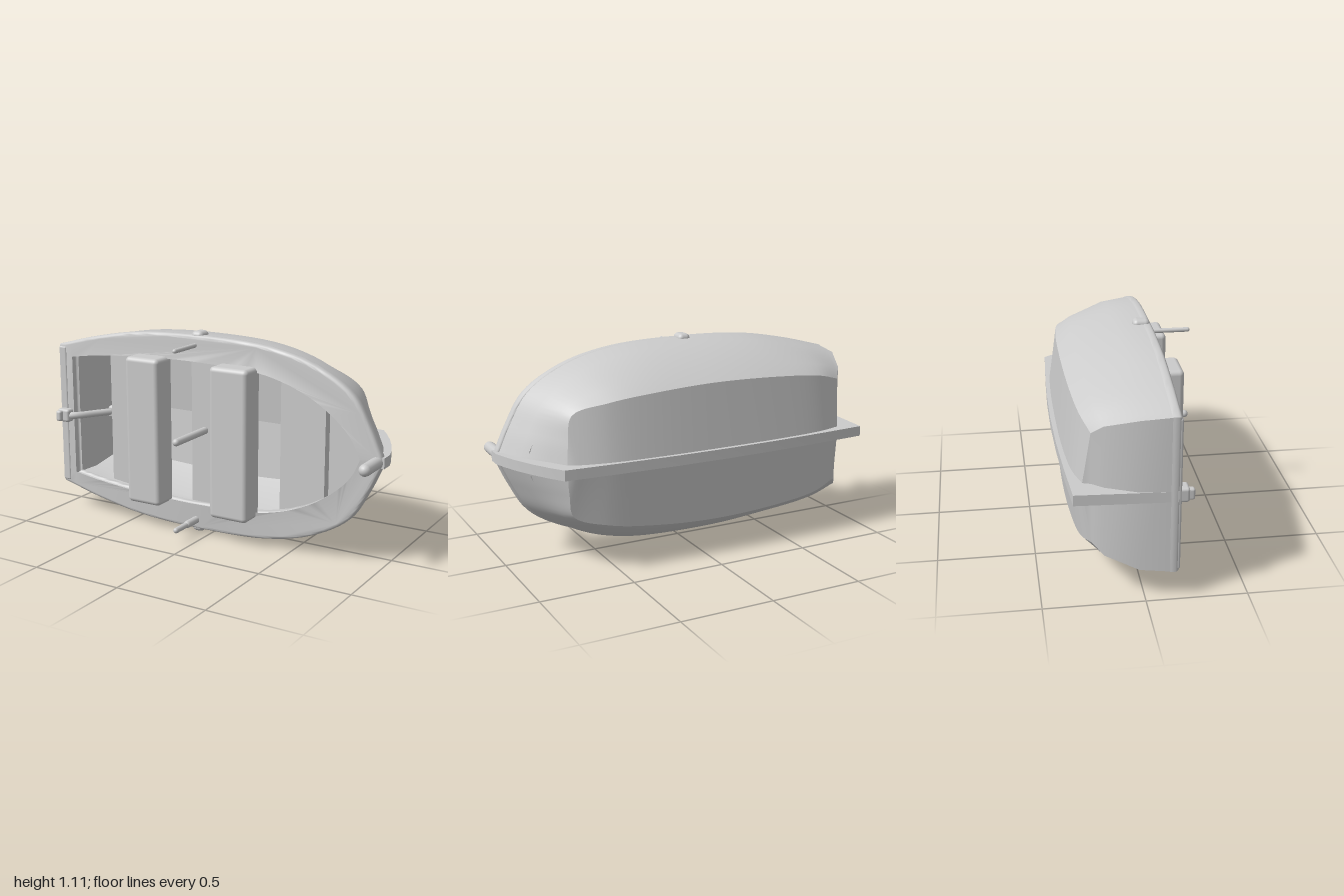
import * as THREE from 'three';
import { toCreasedNormals } from 'three/addons/utils/BufferGeometryUtils.js';
import { RoundedBoxGeometry } from 'three/addons/geometries/RoundedBoxGeometry.js';

const C = 0.555; // height of the boat's centreline; the open side faces +z
const N = 48; // samples along the hull
const mat = new THREE.MeshStandardMaterial({ color: 0xcccccc, side: THREE.DoubleSide });

// A rail is a smooth line from stern to bow, given as x, half-beam and z lists
function rail(xs, hs, zs) {
  const pts = xs.map((x, i) => new THREE.Vector3(x, hs[i], Array.isArray(zs) ? zs[i] : zs));
  return new THREE.CatmullRomCurve3(pts, false, 'centripetal').getPoints(N);
}
const side = (pts, s) => pts.map(p => new THREE.Vector3(p.x, C + s * p.y, p.z));

// Surface through rows of points
function grid(rows, flip) {
  const n = rows[0].length, pos = [], idx = [];
  rows.forEach(r => r.forEach(p => pos.push(p.x, p.y, p.z)));
  for (let j = 0; j < rows.length - 1; j++) {
    for (let i = 0; i < n - 1; i++) {
      const a = j * n + i, b = a + 1, c = a + n, d = c + 1;
      if (flip) idx.push(a, c, b, b, c, d);
      else idx.push(a, b, c, b, d, c);
    }
  }
  const g = new THREE.BufferGeometry();
  g.setAttribute('position', new THREE.Float32BufferAttribute(pos, 3));
  g.setIndex(idx);
  g.computeVertexNormals();
  return g;
}

// Outer rails from gunwale to keel
const rim = rail([-0.995, -0.75, -0.45, -0.05, 0.35, 0.62, 0.825, 0.925, 0.99],
  [0.405, 0.468, 0.52, 0.535, 0.515, 0.445, 0.32, 0.16, 0.02], 0.14);
const mid = rail([-0.98, -0.75, -0.45, -0.05, 0.35, 0.6, 0.775, 0.865, 0.925],
  [0.39, 0.45, 0.508, 0.525, 0.498, 0.42, 0.3, 0.15, 0.015], -0.03);
const low = rail([-0.91, -0.74, -0.45, -0.05, 0.33, 0.56, 0.73, 0.78, 0.81],
  [0.34, 0.38, 0.41, 0.42, 0.405, 0.36, 0.28, 0.145, 0.015],
  [-0.19, -0.22, -0.235, -0.245, -0.235, -0.21, -0.175, -0.18, -0.185]);
const chine = rail([-0.865, -0.72, -0.45, -0.05, 0.3, 0.53, 0.705, 0.735, 0.75],
  [0.29, 0.33, 0.358, 0.37, 0.35, 0.32, 0.265, 0.14, 0.015],
  [-0.245, -0.285, -0.31, -0.32, -0.31, -0.285, -0.235, -0.255, -0.275]);
const keelLine = rail([-0.85, -0.72, -0.45, -0.05, 0.3, 0.53, 0.69, 0.72, 0.74],
  [0, 0, 0, 0, 0, 0, 0, 0, 0],
  [-0.29, -0.325, -0.348, -0.355, -0.35, -0.335, -0.305, -0.295, -0.285]);

// Inner rails from the rim opening to the floor
const inRim = rail([-0.92, -0.75, -0.45, -0.05, 0.35, 0.6, 0.77, 0.85, 0.89],
  [0.355, 0.38, 0.405, 0.412, 0.385, 0.3, 0.185, 0.095, 0.01], 0.14);
const inMid = rail([-0.9, -0.74, -0.45, -0.05, 0.35, 0.57, 0.73, 0.81, 0.85],
  [0.35, 0.39, 0.42, 0.43, 0.40, 0.32, 0.2, 0.1, 0.01], -0.03);
const inLow = rail([-0.82, -0.7, -0.45, -0.05, 0.32, 0.5, 0.62, 0.68, 0.71],
  [0.26, 0.29, 0.31, 0.32, 0.30, 0.26, 0.18, 0.09, 0.01], -0.235);
const inKeel = inLow.map(p => new THREE.Vector3(p.x, 0, -0.265));

function halfWidth(x) {
  const i = Math.max(1, inRim.findIndex(p => p.x >= x));
  const a = inRim[i - 1], b = inRim[i];
  return THREE.MathUtils.lerp(a.y, b.y, (x - a.x) / (b.x - a.x));
}
const outline = pts => [...side(pts, 1), ...side(pts, -1).reverse()].map(p => new THREE.Vector2(p.x, p.y));

export function createModel() {
  const model = new THREE.Group();
  const add = (name, geo, x = 0, y = 0, z = 0, parent = model) => {
    const m = new THREE.Mesh(geo, mat);
    m.name = name;
    m.position.set(x, y, z);
    parent.add(m);
  };

  // Hull sides, bottom and inner lining, mirrored about the centreline
  for (const s of [1, -1]) {
    const rows = (...r) => r.map(p => side(p, s));
    add('hullSide', toCreasedNormals(grid(rows(rim, mid, low, chine), s < 0), 0.6));
    add('hullBottom', grid(rows(chine, keelLine), s < 0));
    add('innerSide', grid(rows(inRim, inMid, inLow), s > 0));
    add('floor', grid(rows(inLow, inKeel), s > 0));
  }

  // Raked transom, outside and inside
  const across = r => [side(r, -1)[0], side(r, 1)[0]];
  add('transom', grid([rim, mid, low, chine, keelLine].map(across)));
  add('innerTransom', grid([inRim, inMid, inLow, inKeel].map(across), true));

  // Rounded gunwale ring
  const ring = new THREE.Shape(outline(rim));
  ring.holes.push(new THREE.Path(outline(inRim)));
  add('gunwale', toCreasedNormals(new THREE.ExtrudeGeometry(ring, {
    depth: 0.02, bevelThickness: 0.018, bevelSize: 0.018, bevelOffset: -0.018, bevelSegments: 4,
  }), 0.7), 0, 0, 0.122);
  add('transomCap', new RoundedBoxGeometry(0.05, 0.79, 0.05, 2, 0.01), -0.967, C, 0.14);

  // Keel, skeg and stem in one flat strip
  const strip = new THREE.Shape([
    [-0.995, 0.15], [-0.968, -0.34], [-0.7, -0.358], [-0.4, -0.372], [-0.1, -0.377], [0.2, -0.373], [0.5, -0.36],
    [0.79, -0.343], [0.84, -0.27], [0.89, -0.185], [0.945, -0.075], [0.98, 0.015], [1, 0.08], [1, 0.15],
    [0.94, 0.15], [0.91, 0], [0.79, -0.18], [0.72, -0.265], [0.3, -0.32], [-0.5, -0.32],
    [-0.82, -0.265], [-0.9, -0.12], [-0.95, 0.15],
  ].map(p => new THREE.Vector2(...p)));
  const keelGeo = new THREE.ExtrudeGeometry(strip, { depth: 0.055, bevelEnabled: false });
  keelGeo.translate(0, 0, -0.0275).rotateX(Math.PI / 2);
  add('keel', toCreasedNormals(keelGeo, 0.5), 0, C, 0);

  // Rounded post at the bow
  const pin = (r, len) => new THREE.CapsuleGeometry(r, len - 2 * r, 5, 14).rotateX(Math.PI / 2);
  add('bowPost', pin(0.031, 0.26), 0.962, C, 0.2);

  // Low planks and foredeck, cut to the shape of the opening
  for (const [name, x0, x1, z] of [['sternPlank', -0.73, -0.5, 0.03], ['middlePlank', -0.165, 0.025, 0.06],
    ['bowPlank', 0.36, 0.62, 0.02], ['foredeck', 0.62, 0.875, -0.03]]) {
    const edge = Array.from({ length: 11 }, (_, i) => {
      const x = x0 + (x1 - x0) * i / 10;
      return new THREE.Vector3(x, halfWidth(x) + 0.02, 0);
    });
    add(name, new THREE.ExtrudeGeometry(new THREE.Shape(outline(edge)), { depth: 0.05, bevelEnabled: false }), 0, 0, z - 0.05);
  }

  // Raised thwarts
  for (const [x, w] of [[-0.355, 0.21], [0.18, 0.225]]) {
    add('thwart', new RoundedBoxGeometry(w, 0.815, 0.15, 4, 0.025), x, 0.552, 0.195);
  }

  // Pin standing on the middle plank
  add('centrePin', pin(0.02, 0.32), -0.08, C, 0.208);

  // Rowlocks: a pin on the rim and a lug on the outside of the hull
  for (const s of [1, -1]) {
    const rowlock = new THREE.Group();
    rowlock.name = 'rowlock';
    model.add(rowlock);
    add('rowlockPin', pin(s > 0 ? 0.012 : 0.015, 0.24), -0.08, C + s * 0.483, s > 0 ? 0.245 : 0.255, rowlock);
    if (s < 0) add('rowlockCollar', pin(0.02, 0.13), -0.08, C - 0.483, 0.205, rowlock);
    add('rowlockLug', new RoundedBoxGeometry(0.07, 0.06, 0.09, 4, 0.025), -0.08, C + s * 0.525, 0.107, rowlock);
  }

  // Tiller with its clamp over the transom, the bar dropping into the well
  const tiller = new THREE.Group();
  tiller.name = 'tiller';
  model.add(tiller);
  add('clamp', new RoundedBoxGeometry(0.08, 0.075, 0.06, 2, 0.015), -0.95, C, 0.175, tiller);
  add('clampKnob', new RoundedBoxGeometry(0.035, 0.06, 0.05, 2, 0.012), -0.965, C, 0.205, tiller);
  const path = new THREE.CatmullRomCurve3([[-0.95, 0.185], [-0.89, 0.165], [-0.82, 0.06], [-0.75, -0.05]]
    .map(([x, z]) => new THREE.Vector3(x, C, z)));
  add('tillerBar', new THREE.TubeGeometry(path, 16, 0.02, 10), 0, 0, 0, tiller);
  add('tillerGrip', new RoundedBoxGeometry(0.055, 0.07, 0.06, 2, 0.015), -0.76, C, -0.035, tiller);
  return model;
}
